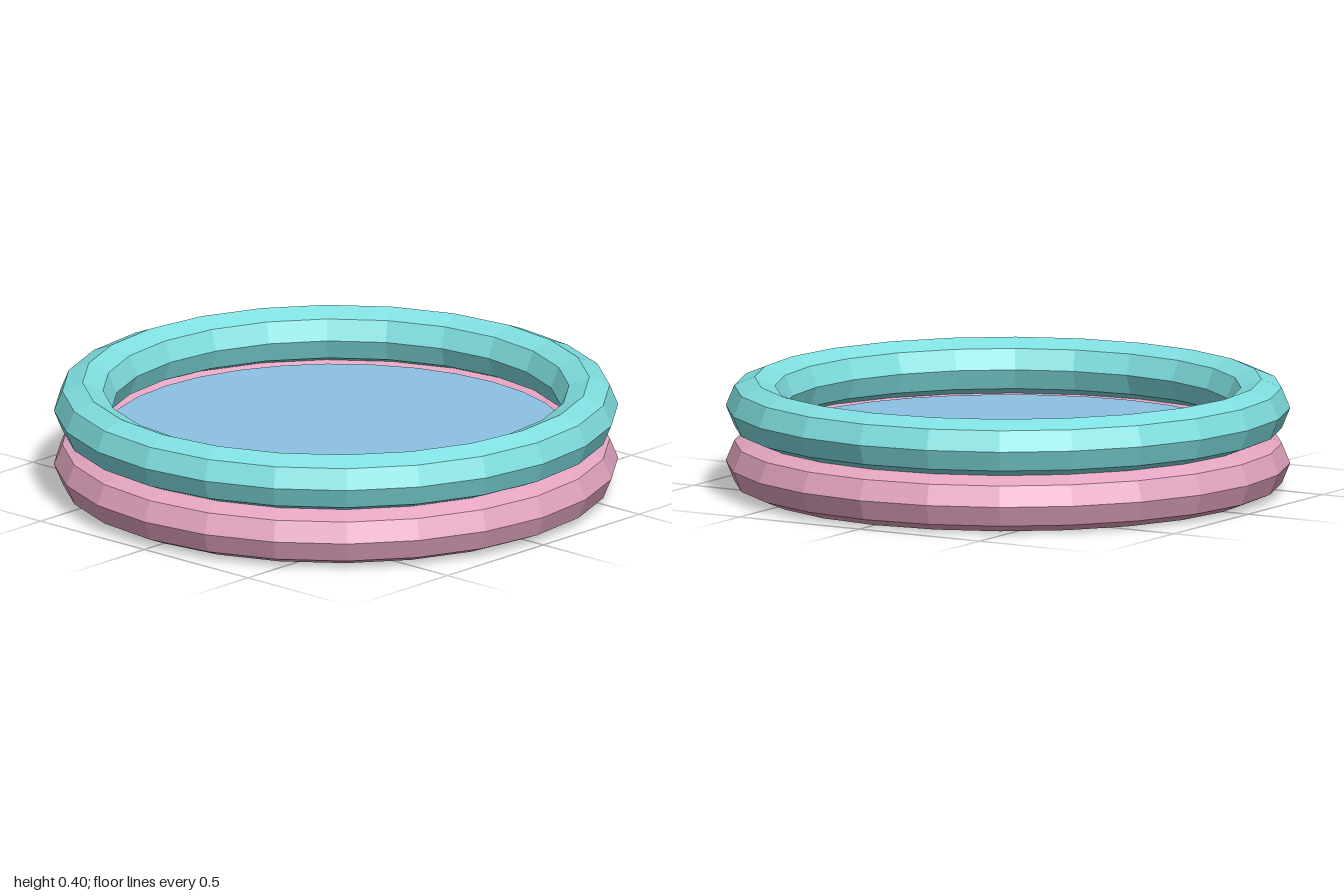
import * as THREE from 'three';

const RING_SIDES = 24;
const DISC_SIDES = 32;
const TUBE = 0.102;

function flatMaterial(name, color) {
  const m = new THREE.MeshStandardMaterial({ color, flatShading: true });
  m.name = name;
  return m;
}

export function createModel() {
  const pool = new THREE.Group();
  pool.name = 'paddlingPool';

  const pink = flatMaterial('pink', 0xe4a5c1);
  const teal = flatMaterial('teal', 0x80dfe0);
  const blue = flatMaterial('waterBlue', 0x8cc1e3);

  function add(name, geometry, material, y) {
    const mesh = new THREE.Mesh(geometry, material);
    mesh.name = name;
    mesh.position.y = y;
    pool.add(mesh);
  }

  // Two stacked inflatable rings with octagonal section
  const ring = new THREE.TorusGeometry(1 - TUBE, TUBE, 8, RING_SIDES).rotateX(-Math.PI / 2);
  add('lowerRing', ring, pink, TUBE);
  add('upperRing', ring, teal, 0.3);

  // Floor slab, flush with the underside of the lower ring
  add('floor', new THREE.CylinderGeometry(0.882, 0.882, 0.04, DISC_SIDES), pink, 0.02);

  // Water surface level with the seam between the rings
  add('water', new THREE.CircleGeometry(0.82, DISC_SIDES).rotateX(-Math.PI / 2), blue, 0.208);

  return pool;
}
